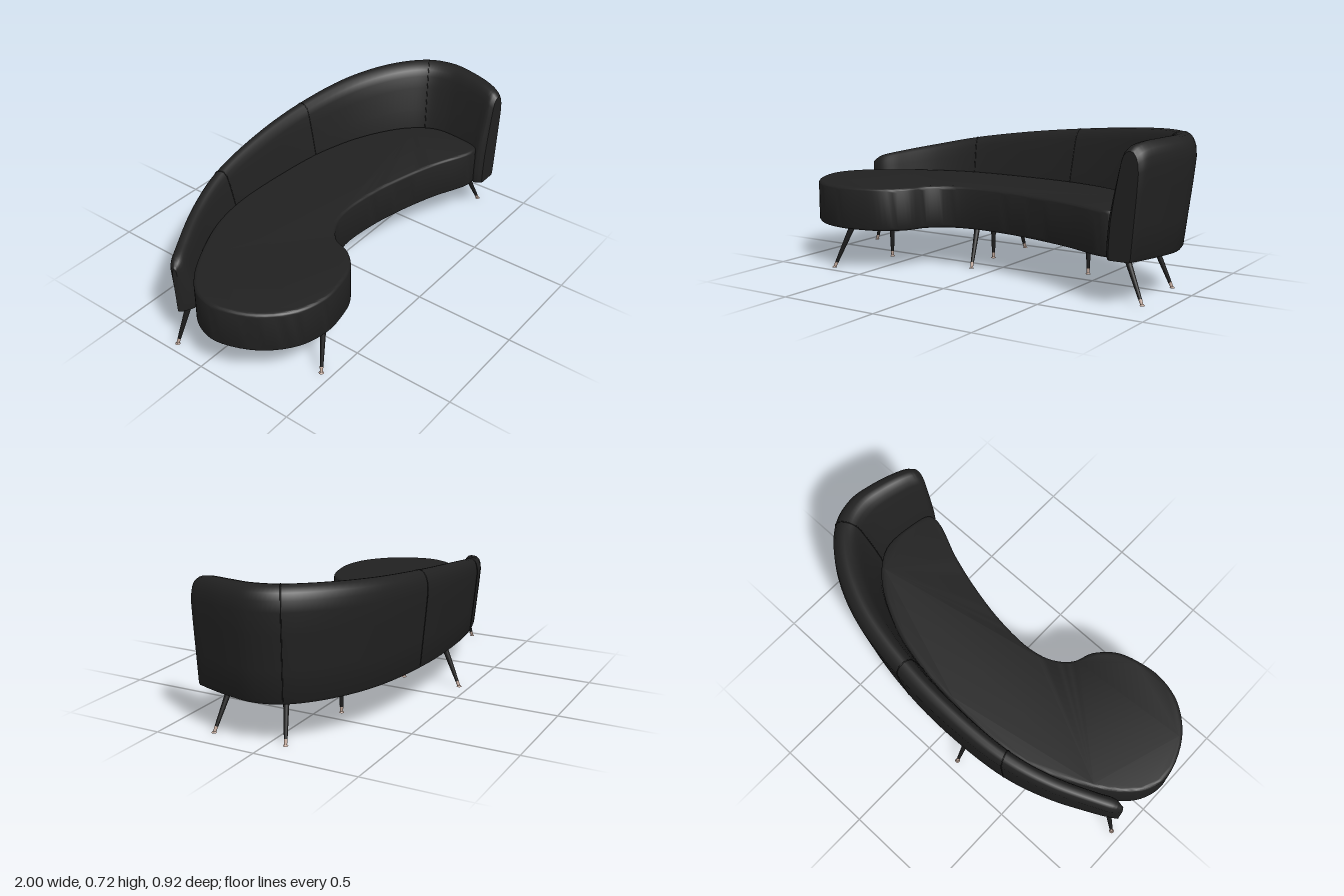
import * as THREE from 'three';
import { toCreasedNormals } from 'three/addons/utils/BufferGeometryUtils.js';

const V = (x, y, z) => new THREE.Vector3(x, y, z);
const BASE = 0.2;

// Backrest stations: outer x, outer z, inner x, inner z, top height
const STATIONS = [
  [-0.955, -0.175, -0.935, -0.15, 0.44], [-0.93, -0.21, -0.875, -0.125, 0.47],
  [-0.84, -0.26, -0.78, -0.17, 0.497], [-0.65, -0.35, -0.58, -0.255, 0.54],
  [-0.42, -0.42, -0.38, -0.3, 0.585], [-0.1, -0.45, -0.1, -0.31, 0.63],
  [0.22, -0.44, 0.2, -0.285, 0.665], [0.56, -0.38, 0.48, -0.21, 0.695],
  [0.8, -0.265, 0.68, -0.1, 0.713], [0.95, -0.12, 0.765, -0.01, 0.72],
  [0.995, 0.01, 0.785, 0.09, 0.72], [0.98, 0.14, 0.775, 0.18, 0.718],
  [0.94, 0.28, 0.755, 0.28, 0.71], [0.92, 0.335, 0.742, 0.33, 0.695],
  [0.9, 0.36, 0.765, 0.36, 0.675],
];
// Backrest section: across (0 outer, 1 inner), up (0 bottom, 1 top)
const SECTION = [
  [0.27, 0], [0.22, 0.03], [0.14, 0.3], [0.05, 0.6], [0, 0.8], [0.02, 0.89], [0.08, 0.95],
  [0.18, 0.99], [0.3, 1], [0.42, 0.99], [0.53, 0.95], [0.6, 0.89], [0.68, 0.78],
  [0.83, 0.55], [0.94, 0.35], [0.99, 0.15], [1, 0.03], [0.97, 0],
];
// Seat outline: x, z
const SEAT = [
  [-1, 0.1], [-0.97, -0.02], [-0.89, -0.11], [-0.75, -0.2], [-0.55, -0.29], [-0.35, -0.33],
  [0, -0.325], [0.25, -0.295], [0.5, -0.215], [0.7, -0.09], [0.79, 0.04], [0.79, 0.2],
  [0.76, 0.31], [0.7, 0.32], [0.5, 0.24], [0.3, 0.18], [0.1, 0.14], [-0.1, 0.13],
  [-0.22, 0.16], [-0.3, 0.225], [-0.34, 0.32], [-0.43, 0.405], [-0.55, 0.442],
  [-0.66, 0.45], [-0.8, 0.41], [-0.93, 0.29],
];
// Legs: foot x, foot z, top x, top z
const LEGS = [
  [-0.955, -0.19, -0.88, -0.165], [-0.15, -0.45, -0.15, -0.36], [-0.7, 0.45, -0.62, 0.4],
  [0.89, 0.275, 0.79, 0.24], [0.87, -0.08, 0.79, -0.04], [-0.12, 0.1, -0.145, 0.005],
  [-0.615, 0.1, -0.61, 0.105], [-0.155, -0.15, -0.155, -0.15], [0.42, -0.105, 0.42, -0.105],
];

const outerCurve = new THREE.CatmullRomCurve3(STATIONS.map(s => V(s[0], s[4], s[1])));
const innerCurve = new THREE.CatmullRomCurve3(STATIONS.map(s => V(s[2], s[4], s[3])));

// One ring of the backrest at path parameter t
function ring(t) {
  const o = outerCurve.getPoint(t), n = innerCurve.getPoint(t);
  return SECTION.map(([s, v]) => {
    const p = o.clone().lerp(n, s);
    p.y = BASE + v * (o.y - BASE);
    return p;
  });
}

function backGeometry() {
  const steps = (STATIONS.length - 1) * 7, n = SECTION.length;
  const pos = [], idx = [];
  for (let i = 0; i <= steps; i++) ring(i / steps).forEach(p => pos.push(p.x, p.y, p.z));
  for (let i = 0; i < steps; i++) {
    for (let j = 0; j < n; j++) {
      const a = i * n + j, c = i * n + (j + 1) % n, b = a + n, d = c + n;
      idx.push(a, c, b, b, c, d);
    }
  }
  // End caps
  for (const [row, start] of [[0, true], [steps, false]]) {
    const centre = ring(row / steps).reduce((s, p) => s.add(p), V(0, 0, 0)).divideScalar(n);
    const k = pos.length / 3;
    pos.push(centre.x, centre.y, centre.z);
    for (let j = 0; j < n; j++) {
      const a = row * n + j, b = row * n + (j + 1) % n;
      if (start) idx.push(k, b, a); else idx.push(k, a, b);
    }
  }
  const g = new THREE.BufferGeometry();
  g.setAttribute('position', new THREE.Float32BufferAttribute(pos, 3));
  g.setIndex(idx);
  return toCreasedNormals(g, 0.75);
}

function seatGeometry() {
  const curve = new THREE.CatmullRomCurve3(SEAT.map(([x, z]) => V(x, -z, 0)), true);
  const shape = new THREE.Shape(curve.getPoints(130).slice(0, -1).map(p => new THREE.Vector2(p.x, p.y)));
  const bevel = 0.018;
  const g = new THREE.ExtrudeGeometry(shape, {
    depth: 0.208 - 2 * bevel, steps: 1, bevelEnabled: true, bevelThickness: bevel,
    bevelSize: bevel, bevelOffset: -bevel, bevelSegments: 5,
  });
  g.rotateX(-Math.PI / 2).translate(0, BASE + bevel, 0);
  return toCreasedNormals(g, 0.6);
}

export function createModel() {
  const model = new THREE.Group();
  const mat = (name, color) => {
    const m = new THREE.MeshStandardMaterial({ color });
    m.name = name;
    return m;
  };
  const fabric = mat('black upholstery', 0x212121);
  const wood = mat('black leg', 0x1c1c1c);
  const metal = mat('rose brass', 0xc4aa9c);
  const add = (parent, name, geometry, material) => {
    const mesh = new THREE.Mesh(geometry, material);
    mesh.name = name;
    parent.add(mesh);
    return mesh;
  };

  add(model, 'seat', seatGeometry(), fabric);
  add(model, 'backrest', backGeometry(), fabric);

  // Stitched seams across the backrest
  for (const station of [4, 6, 9]) {
    const pts = ring(station / (STATIONS.length - 1));
    const path = new THREE.CatmullRomCurve3(pts.slice(1, -1));
    add(model, 'backSeam', new THREE.TubeGeometry(path, 50, 0.0025, 6), wood);
  }

  // Splayed tapered legs with metal ferrules
  for (const [fx, fz, tx, tz] of LEGS) {
    const foot = V(fx, 0, fz), dir = V(tx, BASE + 0.01, tz).sub(foot);
    const len = dir.length();
    const leg = new THREE.Group();
    leg.name = 'leg';
    leg.position.copy(foot);
    const tilt = new THREE.Group();
    tilt.quaternion.setFromUnitVectors(V(0, 1, 0), dir.normalize());
    leg.add(tilt);
    add(tilt, 'legShaft', new THREE.CylinderGeometry(0.015, 0.008, len - 0.025, 16), wood)
      .position.y = (len + 0.025) / 2;
    add(tilt, 'ferrule', new THREE.CylinderGeometry(0.0085, 0.0065, 0.026, 16), metal).position.y = 0.016;
    add(leg, 'footPad', new THREE.CylinderGeometry(0.007, 0.012, 0.006, 16), metal).position.y = 0.003;
    model.add(leg);
  }
  return model;
}
